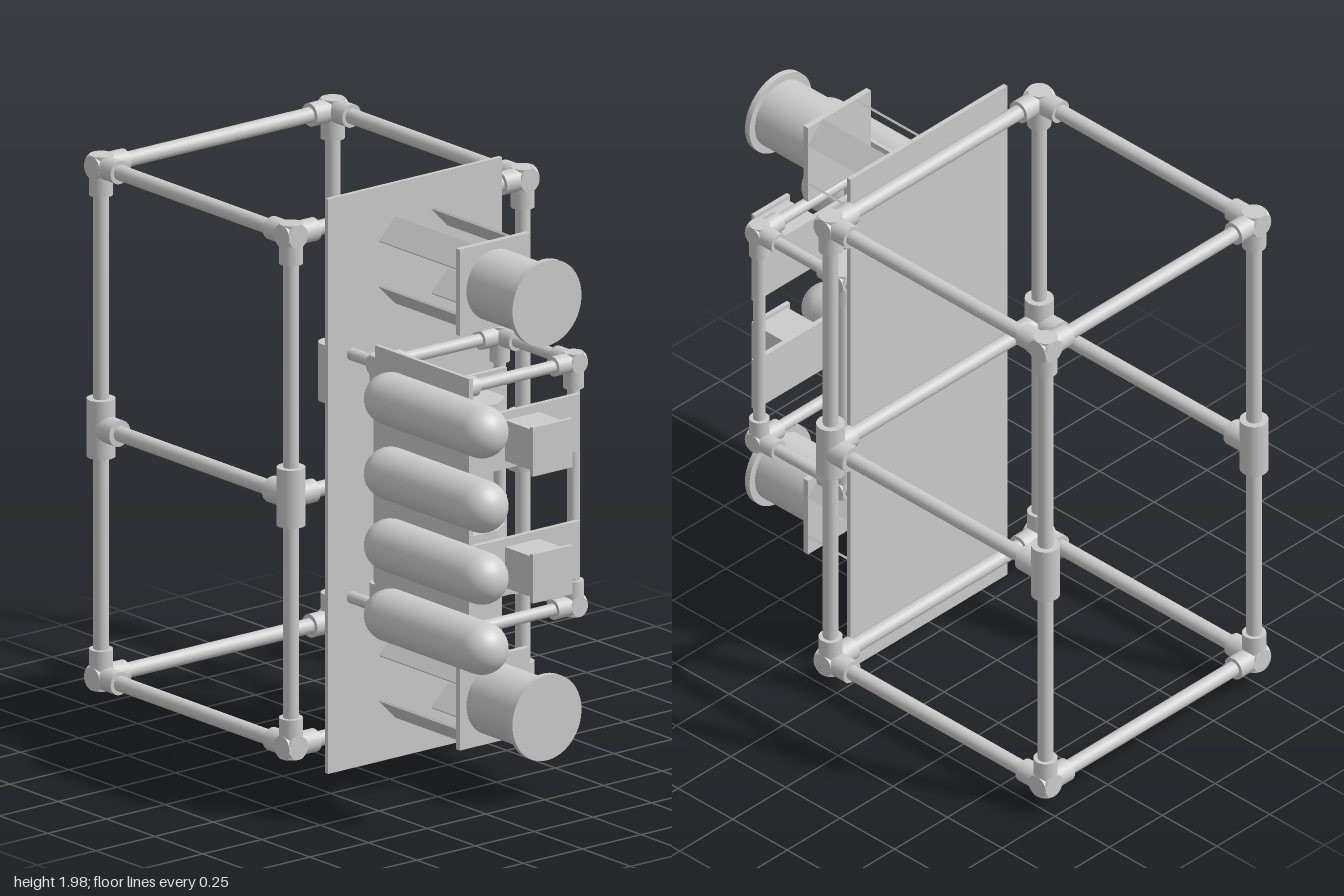
import * as THREE from 'three';

const grey = new THREE.MeshStandardMaterial({ color: 0xcccccc });
const UP = new THREE.Vector3(0, 1, 0);

export function createModel() {
  const model = new THREE.Group();
  model.name = 'underwaterRig';

  function add(parent, name, geometry, x = 0, y = 0, z = 0) {
    const mesh = new THREE.Mesh(geometry, grey);
    mesh.name = name;
    mesh.position.set(x, y, z);
    parent.add(mesh);
    return mesh;
  }

  // Box given by its minimum and maximum corners
  function span(parent, name, a, b) {
    const size = a.map((v, i) => b[i] - v);
    const mid = a.map((v, i) => (v + b[i]) / 2);
    return add(parent, name, new THREE.BoxGeometry(...size), ...mid);
  }

  // Round bar between two points
  function rod(parent, name, a, b, r) {
    const from = new THREE.Vector3(...a), to = new THREE.Vector3(...b);
    const dir = to.clone().sub(from);
    const mesh = add(parent, name, new THREE.CylinderGeometry(r, r, dir.length(), 24));
    mesh.position.copy(from).add(to).multiplyScalar(0.5);
    mesh.quaternion.setFromUnitVectors(UP, dir.normalize());
    return mesh;
  }

  // Pipe fitting: one socket per direction, each with a short heel behind the centre
  function fitting(parent, name, p, dirs, r, length) {
    const group = new THREE.Group();
    group.name = name;
    for (const d of dirs) {
      rod(group, 'socket', p.map((v, i) => v - d[i] * r), p.map((v, i) => v + d[i] * length), r);
    }
    parent.add(group);
  }

  // Rectangular pipe frame with three-way corner fittings
  function pipeFrame(name, xs, ys, zs, pipeR, fitR, fitLen) {
    const group = new THREE.Group();
    group.name = name;
    model.add(group);
    for (const y of ys) {
      for (const z of zs) rod(group, 'crossPipe', [xs[0], y, z], [xs[1], y, z], pipeR);
      for (const x of xs) rod(group, 'sidePipe', [x, y, zs[0]], [x, y, zs[1]], pipeR);
    }
    for (const x of xs) for (const z of zs) {
      rod(group, 'uprightPipe', [x, ys[0], z], [x, ys[1], z], pipeR);
      for (const y of ys) {
        const dx = x === xs[0] ? 1 : -1;
        const dy = y === ys[0] ? 1 : -1;
        const dz = z === zs[0] ? 1 : -1;
        fitting(group, 'cornerFitting', [x, y, z], [[dx, 0, 0], [0, dy, 0], [0, 0, dz]], fitR, fitLen);
      }
    }
    return group;
  }

  // Main frame with a middle tier of pipes
  const X = 0.493, MID = 0.973, FRONT = 0.035, BACK = -0.95;
  const main = pipeFrame('mainFrame', [-X, X], [0.112, 1.873], [BACK, FRONT], 0.026, 0.04, 0.098);
  rod(main, 'middleCrossPipe', [-X, MID, FRONT], [X, MID, FRONT], 0.026);
  for (const x of [-X, X]) {
    rod(main, 'middleSidePipe', [x, MID, BACK], [x, MID, FRONT], 0.026);
    for (const z of [BACK, FRONT]) {
      const inward = z === FRONT ? -1 : 1;
      rod(main, 'teeSleeve', [x, MID - 0.1, z], [x, MID + 0.1, z], 0.048);
      rod(main, 'teeSocket', [x, MID, z], [x, MID, z + inward * 0.097], 0.045);
    }
    rod(main, 'teeCrossSocket', [x, MID, FRONT], [x * 0.81, MID, FRONT], 0.04);
  }

  // Tall back board
  span(model, 'mainPanel', [-0.37, 0, 0.062], [0.37, 1.98, 0.078]);

  // Small frame held off the board by four arms
  const sx = [-0.27, 0.24], sy = [0.59, 1.428], sz = [0.225, 0.607];
  const small = pipeFrame('equipmentFrame', sx, sy, sz, 0.021, 0.034, 0.088);
  for (const x of sx) for (const y of sy) {
    rod(small, 'mountingArm', [x, y, 0.07], [x, y, sz[0]], 0.021);
  }

  // Side plate with four capsule tanks
  span(model, 'tankPlate', [-0.317, 0.52, 0.255], [-0.302, 1.51, 0.745]);
  for (const y of [0.64, 0.882, 1.129, 1.386]) {
    const tank = add(model, 'tank', new THREE.CapsuleGeometry(0.088, 0.474, 16, 40), -0.4, y, 0.675);
    tank.rotation.x = Math.PI / 2;
  }

  // Large canisters on four angled struts
  for (const y of [0.288, 1.716]) {
    const unit = new THREE.Group();
    unit.name = 'canister';
    unit.position.set(-0.005, y, 0);
    model.add(unit);
    span(unit, 'mountPlate', [-0.149, -0.149, 0.477], [0.149, 0.149, 0.498]);
    rod(unit, 'canisterBody', [0, 0, 0.49], [0, 0, 0.75], 0.121).geometry =
      new THREE.CylinderGeometry(0.121, 0.121, 0.26, 64);
    rod(unit, 'canisterFlange', [0, 0, 0.747], [0, 0, 0.768], 0.147).geometry =
      new THREE.CylinderGeometry(0.147, 0.147, 0.021, 64);
    for (const i of [-1, 1]) for (const j of [-1, 1]) {
      const strut = add(unit, 'strut', new THREE.BoxGeometry(0.1, 0.008, 0.41), i * 0.112, j * 0.112, 0.275);
      strut.rotation.z = -i * j * Math.PI / 4;
    }
  }

  // Instrument shelves: front and rear plates with small housings
  const outline = new THREE.Shape([[-0.13, 0.27], [0.1, 0.27], [0.1, 0.425], [0.03, 0.47], [-0.13, 0.47]]
    .map(([x, z]) => new THREE.Vector2(x, -z)));
  const rearGeometry = new THREE.ExtrudeGeometry(outline, { depth: 0.124, bevelEnabled: false });
  rearGeometry.rotateX(-Math.PI / 2);
  for (const [y, left] of [[0.793, -0.285], [1.23, -0.255]]) {
    span(model, 'frontInstrumentPlate', [left, y - 0.098, 0.63], [0.235, y + 0.098, 0.648]);
    span(model, 'rearInstrumentPlate', [left, y - 0.098, 0.25], [0.235, y + 0.098, 0.268]);
    span(model, 'frontHousing', [-0.085, y - 0.07, 0.645], [0.06, y + 0.07, 0.797]);
    span(model, 'housingCap', [-0.097, y - 0.084, 0.793], [0.07, y + 0.084, 0.808]);
    add(model, 'rearHousing', rearGeometry, 0, y - 0.062, 0);
  }

  return model;
}
